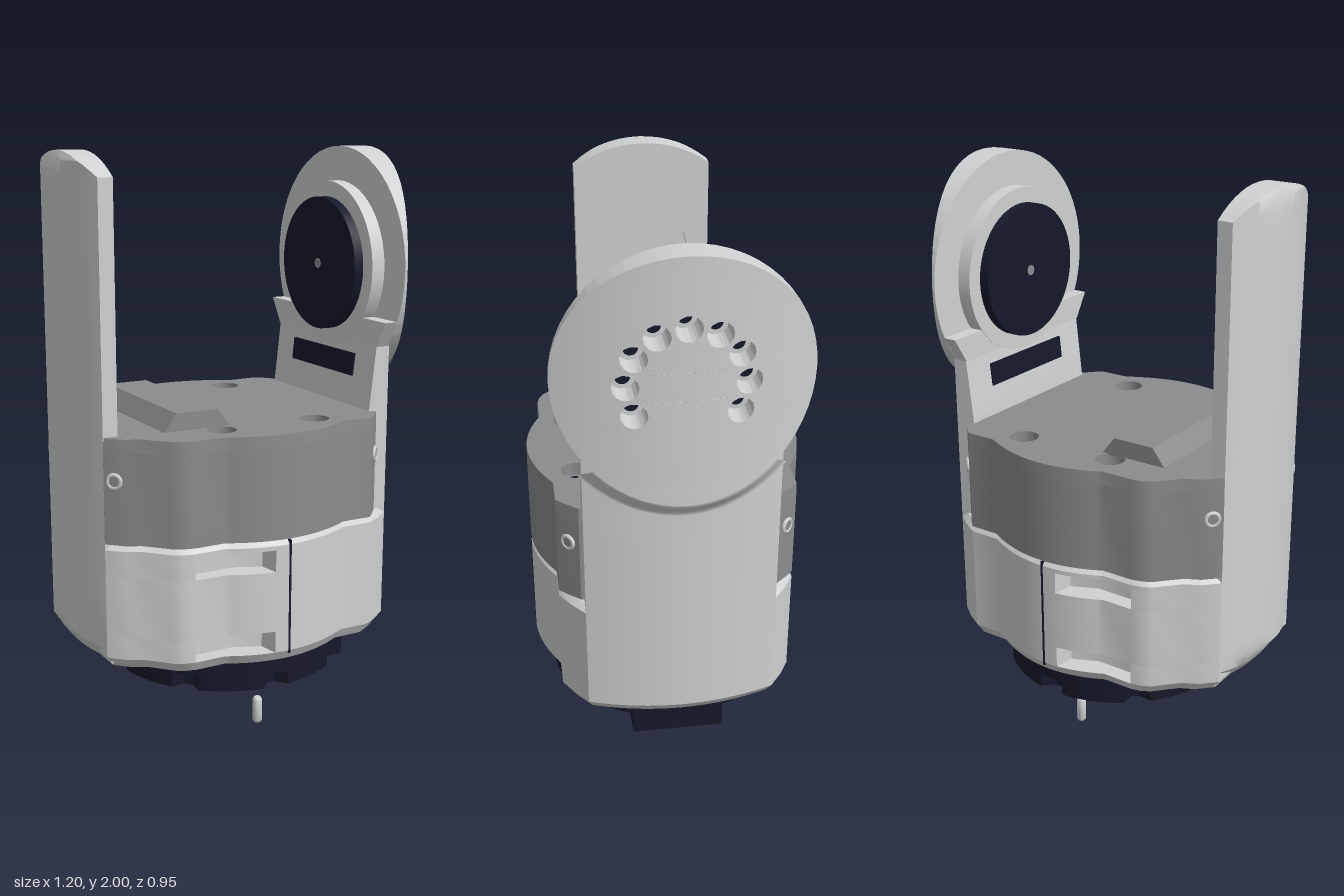
import * as THREE from 'three';
import { toCreasedNormals } from 'three/addons/utils/BufferGeometryUtils.js';
import { ParametricGeometry } from 'three/addons/geometries/ParametricGeometry.js';

const mat = (name, color) => Object.assign(new THREE.MeshStandardMaterial({ color }), { name });
const V = (x, y) => new THREE.Vector2(x, y);
const HUB = 1.59; // height of the pivot axis

// Splits every triangle in four, several times, so a flat cap can be bent smoothly.
function subdivide(geo, times) {
  let p = Array.from(geo.attributes.position.array);
  for (let n = 0; n < times; n++) {
    const out = [];
    for (let i = 0; i < p.length; i += 9) {
      const a = p.slice(i, i + 3), b = p.slice(i + 3, i + 6), c = p.slice(i + 6, i + 9);
      const mid = (u, v) => u.map((k, j) => (k + v[j]) / 2);
      const ab = mid(a, b), bc = mid(b, c), ca = mid(c, a);
      out.push(...a, ...ab, ...ca, ...ab, ...b, ...bc, ...ca, ...bc, ...c, ...ab, ...bc, ...ca);
    }
    p = out;
  }
  const g = new THREE.BufferGeometry();
  g.setAttribute('position', new THREE.Float32BufferAttribute(p, 3));
  return g;
}

// Side plate drawn in (z, y), running from an inner to an outer x rule; side is +1 or -1.
function bowedPlate(shape, inner, outer, side, splits = 3) {
  const g = subdivide(new THREE.ExtrudeGeometry(shape, { depth: 1, bevelEnabled: false, curveSegments: 7 }), splits);
  const p = g.attributes.position;
  for (let i = 0; i < p.count; i++) {
    const z = p.getX(i), y = p.getY(i), a = inner(z, y);
    p.setZ(i, a + p.getZ(i) * (outer(z, y) - a));
  }
  g.rotateY(side * Math.PI / 2);
  return toCreasedNormals(g, 0.5);
}

// Horizontal slab from y0 to y1, with its bottom or top outline shrunk for a chamfer.
function slab(shape, y0, y1, bottom = 1, top = 1) {
  const g = new THREE.ExtrudeGeometry(shape, { depth: y1 - y0, bevelEnabled: false, curveSegments: 16 });
  g.rotateX(-Math.PI / 2);
  const p = g.attributes.position;
  for (let i = 0; i < p.count; i++) {
    const s = p.getY(i) < (y1 - y0) / 2 ? bottom : top;
    p.setXYZ(i, p.getX(i) * s, p.getY(i) + y0, p.getZ(i) * s);
  }
  return toCreasedNormals(g, 0.5);
}

const neckBow = z => 0.555 - 0.56 * z * z;
const discBow = z => 0.595 - 0.565 * z * z;

// Front half of the outline, mirrored to the back.
function outline({ notch = false, cover = false } = {}) {
  const half = [V(-0.55, 0.24), V(-0.5, 0.29), V(-0.45, 0.315), V(-0.38, 0.39), V(-0.35, 0.408), V(-0.31, 0.417)];
  const bulge = new THREE.QuadraticBezierCurve(V(-0.2, 0.417), V(0.03, 0.537), V(0.27, 0.4)).getPoints(20);
  if (notch) half.push(V(-0.3, 0.36), V(-0.14, 0.36), V(-0.05, 0.4), ...bulge.filter(b => b.x > -0.04));
  else half.push(...bulge);
  half.push(V(0.38, 0.4));
  if (cover) half.push(V(0.41, 0.37), V(0.445, 0.33));
  else {
    half.push(V(0.44, 0.365));
    for (let i = 0; i < 8; i++) half.push(V(neckBow(0.32 - i * 0.04), 0.32 - i * 0.04));
    half.push(V(0.555, 0));
  }
  const back = half.filter(q => q.y > 0).reverse().map(q => V(q.x, -q.y));
  return new THREE.Shape([...half, ...back].reverse());
}

function circlePoints(r, cx, cy, n, a0 = 0, a1 = 2 * Math.PI) {
  return Array.from({ length: n }, (_, i) => {
    const a = a0 + (a1 - a0) * i / n;
    return V(cx + r * Math.cos(a), cy + r * Math.sin(a));
  });
}
const circleHole = (x, y, r) => new THREE.Path().absarc(x, y, r, 0, 2 * Math.PI, true);

export function createModel() {
  const model = new THREE.Group();
  const light = mat('light grey shell', 0xd0d1d2);
  const grey = mat('mid grey cover', 0x8a8c8d);
  const dark = mat('dark navy', 0x17182a);
  const add = (name, geo, m, x = 0, y = 0, z = 0) => {
    const mesh = new THREE.Mesh(geo, m);
    mesh.name = name;
    mesh.position.set(x, y, z);
    model.add(mesh);
    return mesh;
  };
  const cylX = (r, len, n = 48) => new THREE.CylinderGeometry(r, r, len, n).rotateZ(Math.PI / 2);

  // Lower housing, with grip slots front and back
  [[0.32, 0.355, false, 0.955, 1], [0.355, 0.43, true], [0.43, 0.64, false],
    [0.64, 0.715, true], [0.715, 0.73, false], [0.73, 0.75, false, 1, 0.965]].forEach(
    ([y0, y1, notch, b, t]) => add('housing', slab(outline({ notch }), y0, y1, b, t), light));
  add('housingSeam', new THREE.BoxGeometry(0.008, 0.4, 0.948), dark, 0.015, 0.545);

  // Upper cover with four sunk screw wells
  add('cover', slab(outline({ cover: true }), 0.75, 1.06), grey);
  const lid = outline({ cover: true });
  for (const x of [-0.16, 0.2]) for (const z of [-0.318, 0.318]) {
    lid.holes.push(circleHole(x, z, 0.05));
    add('coverScrew', new THREE.CylinderGeometry(0.026, 0.026, 0.008, 20), dark, x, 1.064, z);
  }
  add('coverTop', slab(lid, 1.06, 1.105, 1, 0.997), grey);

  // Raised ridge on the cover
  const ridge = new THREE.ExtrudeGeometry(
    new THREE.Shape([V(-0.35, 1.1), V(-0.1, 1.1), V(-0.15, 1.165), V(-0.3, 1.165)]),
    { depth: 0.55, bevelEnabled: false });
  add('coverRidge', ridge, grey, 0, 0, -0.28);

  // Corner screws on the cover
  for (const s of [-1, 1]) for (const [x, z] of [[-0.525, 0.268], [0.418, 0.365]]) {
    const screw = new THREE.Group();
    screw.name = 'cornerScrew';
    const rim = new THREE.Mesh(new THREE.TorusGeometry(0.022, 0.007, 8, 20), light);
    const core = new THREE.Mesh(new THREE.CylinderGeometry(0.018, 0.018, 0.008, 16).rotateX(Math.PI / 2), grey);
    rim.name = 'screwRim';
    core.name = 'screwCore';
    screw.add(rim, core);
    screw.position.set(x, 0.965, s * z);
    screw.rotation.y = Math.atan2(Math.sign(x), s);
    model.add(screw);
  }

  // Flat arm: bowed outside, arched top, round recess inside
  const armShape = () => {
    const a = Math.acos(0.24 / 0.41);
    return new THREE.Shape([V(-0.24, 0.33), V(0.24, 0.33), V(0.24, 0.39), V(0.24, 1.1),
      ...circlePoints(0.41, 0, HUB, 14, a, Math.PI - a),
      V(-0.24, HUB + 0.41 * Math.sin(a)), V(-0.24, 1.1), V(-0.24, 0.39)]);
  };
  add('flatArm', bowedPlate(armShape(), () => 0.535,
    (z, y) => 0.6 - 0.87 * z * z - Math.max(0, 0.39 - y) * 0.8 - Math.max(0, y - 1.97) * 0.5, -1, 4), light);
  const armInner = armShape();
  armInner.holes.push(circleHole(0, HUB, 0.17));
  add('flatArmInner', bowedPlate(armInner, () => 0.498, () => 0.535, -1, 0), light);

  // Neck of the driven arm
  const neck = new THREE.Shape([V(-0.32, 0.4), V(0.32, 0.4), V(0.32, 1.1), V(0.32, 1.33), V(-0.32, 1.33), V(-0.32, 1.1)]);
  add('armNeck', bowedPlate(neck, (z, y) => 0.42 + Math.max(0, y - 1.1) * 0.11, neckBow, 1, 4), light);

  // Bowed disc head with an arc of holes
  const disc = new THREE.Shape(circlePoints(0.41, 0, HUB, 56));
  for (let i = -4; i <= 4; i++) {
    const a = i * Math.PI / 6, z = 0.187 * Math.sin(a), y = HUB + 0.187 * Math.cos(a);
    disc.holes.push(circleHole(z, y, 0.042));
    add('discHoleScrew', cylX(0.024, 0.008, 16), dark, 0.493, y, z);
  }
  add('armDisc', bowedPlate(disc, () => 0.49, discBow, 1), light);

  // Sloped fillet between disc and neck
  add('discFillet', new ParametricGeometry((u, v, t) => {
    const a = (u * 2 - 1) * 0.78, r = 0.405 + 0.065 * v, z = r * Math.sin(a);
    const k = v * v * (3 - 2 * v);
    t.set(discBow(z) * (1 - k) + neckBow(z) * k, HUB - r * Math.cos(a), z);
  }, 24, 6), light);

  // Inner bearing: light ring with side ears, dark rotor, connector plate
  add('bearingRing', cylX(0.29, 0.05, 56), light, 0.465, HUB, 0);
  const ears = new THREE.Shape([V(-0.32, 1.33), V(0.32, 1.33), V(0.375, 1.42), V(-0.375, 1.42)]);
  add('bearingEars', bowedPlate(ears, () => 0.442, () => 0.492, 1, 0), light);
  add('rotor', cylX(0.235, 0.035, 56), dark, 0.4225, HUB, 0);
  add('rotorCentre', cylX(0.018, 0.004, 16), grey, 0.4045, HUB, 0);
  add('connectorPlate', new THREE.BoxGeometry(0.008, 0.08, 0.4), dark, 0.434, 1.25, 0).rotation.z = -0.108;

  // Dark mounting base: full ring, notched ring, tab and hollow centre
  const ring = new THREE.Shape(circlePoints(0.41, 0, 0, 64));
  ring.holes.push(circleHole(0, 0, 0.25));
  add('baseRing', slab(ring, 0.25, 0.33), dark, 0.02);
  const notched = new THREE.Shape(circlePoints(0.41, 0, 0, 80).map((q, i) => (i + 1) % 10 < 2 ? q.multiplyScalar(0.9) : q));
  notched.holes.push(circleHole(0, 0, 0.25));
  add('baseNotchedRing', slab(notched, 0.2, 0.25), dark, 0.02);
  add('baseTab', new THREE.BoxGeometry(0.135, 0.1, 0.32), dark, 0.367, 0.195, 0);
  add('baseFloor', new THREE.CylinderGeometry(0.26, 0.26, 0.01, 40), dark, 0.02, 0.305, 0);
  for (let i = 0; i < 16; i++) {
    const a = i * Math.PI / 8;
    add('baseContact', new THREE.BoxGeometry(0.035, 0.008, 0.02), light,
      0.02 + 0.2 * Math.cos(a), 0.298, 0.2 * Math.sin(a)).rotation.y = -a;
  }

  // Loose locating pins below the base
  for (const z of [-0.253, 0.253]) {
    const pin = [V(0, 0), V(0.012, 0), V(0.017, 0.008), V(0.017, 0.087), V(0.012, 0.095), V(0, 0.095)];
    add('locatingPin', toCreasedNormals(new THREE.LatheGeometry(pin, 16), 0.6), light, 0.02, 0, z);
  }
  return model;
}
